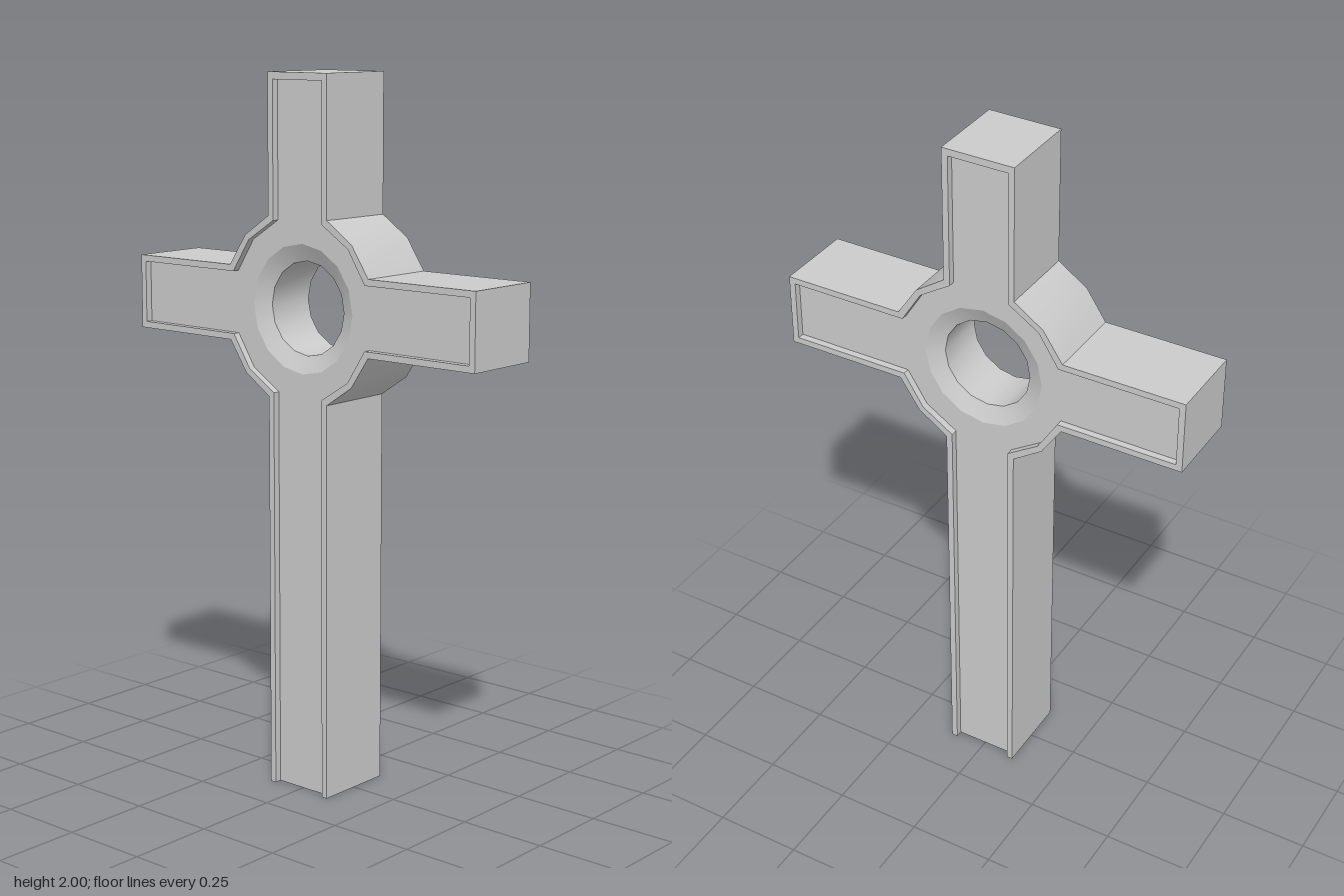
import * as THREE from 'three';
import { toCreasedNormals } from 'three/addons/utils/BufferGeometryUtils.js';

const CY = 1.367;      // height of the ring centre
const HALF = 0.117;    // half thickness
const FLOOR = 0.097;   // z of the recessed panel
const HOLE = 0.13, SINK = 0.178, SIDES = 16;

// Cross outline with a round hub, from bottom right counter-clockwise to bottom left.
function outline(w, armX, topY, r) {
  const k = Math.sqrt(r * r - w * w), d = r * Math.SQRT1_2;
  const right = [
    [w, 0], [w, CY - k], [d, CY - d], [k, CY - w], [armX, CY - w],
    [armX, CY + w], [k, CY + w], [d, CY + d], [w, CY + k], [w, topY],
  ].map(([x, y]) => new THREE.Vector2(x, y));
  const left = right.map((p) => new THREE.Vector2(-p.x, p.y)).reverse();
  return [...right, ...left];
}

export function createModel() {
  const group = new THREE.Group();
  const material = new THREE.MeshStandardMaterial({ color: 0xcccccc });
  const add = (name, geometry) => {
    const mesh = new THREE.Mesh(geometry, material);
    mesh.name = name;
    group.add(mesh);
    return mesh;
  };

  const outer = outline(0.105, 0.6, 2, 0.27);
  const inner = outline(0.087, 0.582, 1.98, 0.252);

  // Full-depth border, open at the foot
  const rim = new THREE.ExtrudeGeometry(
    new THREE.Shape([...outer, ...inner.slice().reverse()]),
    { depth: 2 * HALF, bevelEnabled: false });
  rim.translate(0, 0, -HALF);
  add('borderFrame', toCreasedNormals(rim, 0.6));

  // Recessed panels, front and back
  const panel = new THREE.Shape(inner);
  const ring = [];
  for (let i = 0; i < SIDES; i++) {
    const a = (-i / SIDES) * Math.PI * 2;
    ring.push(new THREE.Vector2(SINK * Math.cos(a), CY + SINK * Math.sin(a)));
  }
  panel.holes.push(new THREE.Path(ring));
  const face = new THREE.ShapeGeometry(panel);
  add('frontPanel', face).position.z = FLOOR;
  const back = add('backPanel', face);
  back.position.z = -FLOOR;
  back.rotation.y = Math.PI;

  // Hole through the hub, with a shallow countersink at both ends
  const bore = new THREE.LatheGeometry([
    [SINK, FLOOR], [HOLE, FLOOR - 0.022], [HOLE, 0.022 - FLOOR], [SINK, -FLOOR],
  ].map(([x, y]) => new THREE.Vector2(x, y)), SIDES);
  bore.rotateX(Math.PI / 2);
  bore.translate(0, CY, 0);
  add('hubHole', toCreasedNormals(bore, 0.6));

  // Underside of the foot between the borders
  const foot = new THREE.PlaneGeometry(2 * 0.087, 2 * FLOOR);
  foot.rotateX(Math.PI / 2);
  add('footUnderside', foot);

  return group;
}
